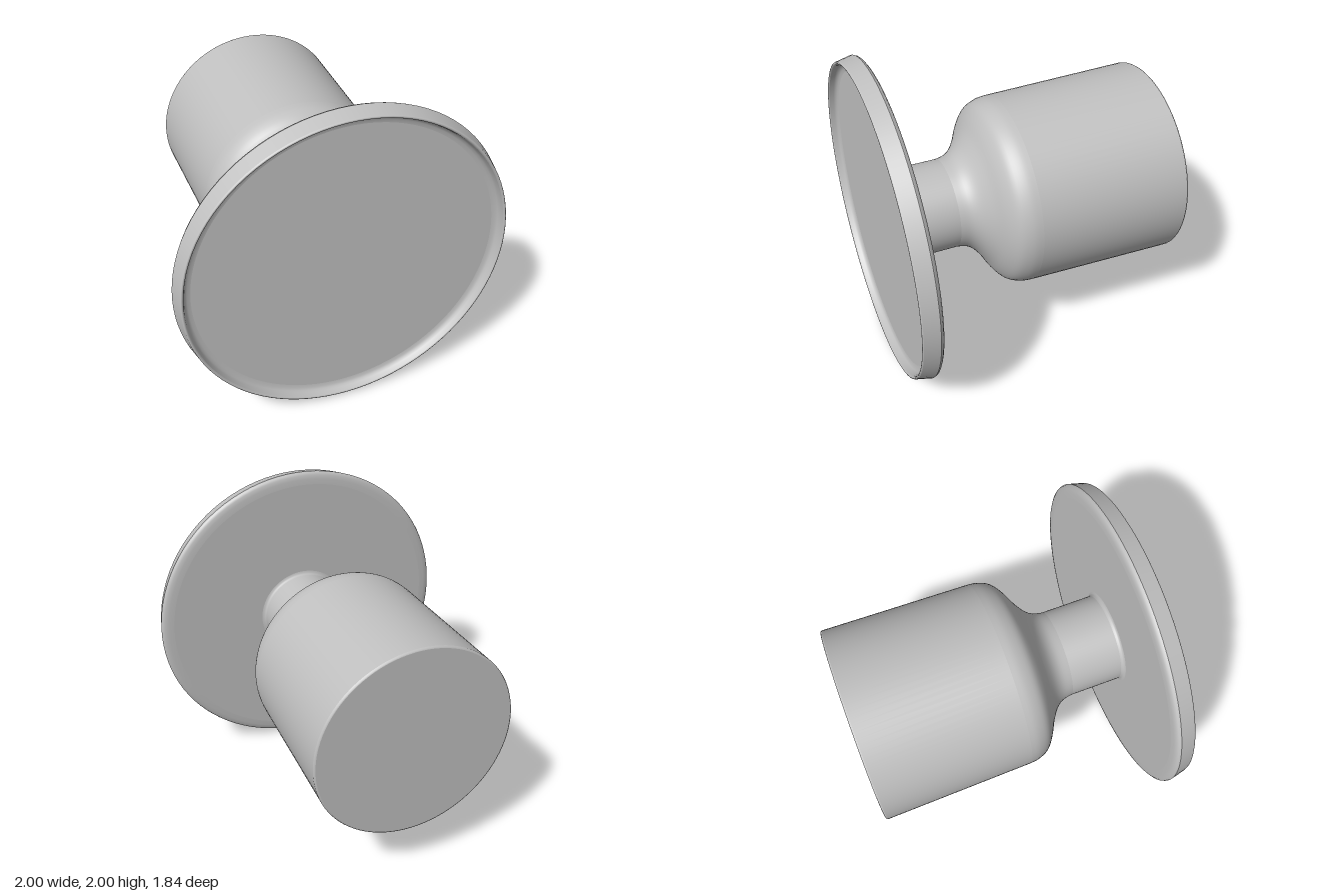
import * as THREE from 'three';

const SEGMENTS = 96;

export function createModel() {
  const group = new THREE.Group();
  group.name = 'pedestalKnob';
  const grey = new THREE.MeshStandardMaterial({ color: 0xc0c0c0 });
  grey.name = 'satin grey';

  // Revolve a [radius, z] profile, listed from back to front, about the z axis
  function turned(name, profile) {
    const points = profile.map((p) => (p.isVector2 ? p : new THREE.Vector2(p[0], p[1])));
    const geometry = new THREE.LatheGeometry(points, SEGMENTS);
    geometry.rotateX(Math.PI / 2);
    const mesh = new THREE.Mesh(geometry, grey);
    mesh.name = name;
    mesh.position.y = 1;
    group.add(mesh);
  }

  // Flat back face of the head and its small rounded edge
  turned('headBack', [[0, -0.92], [0.61, -0.92]]);
  turned('headEdge', [[0.61, -0.92], [0.617, -0.917], [0.621, -0.909]]);

  // Slightly tapered head
  turned('headWall', [[0.621, -0.909], [0.6, 0.04]]);

  // S-shaped shoulder flowing from the head into the stem
  const shoulder = new THREE.SplineCurve([
    [0.6, 0.04], [0.592, 0.1], [0.562, 0.165], [0.5, 0.215], [0.41, 0.265],
    [0.335, 0.32], [0.295, 0.375], [0.28, 0.44],
  ].map(([r, z]) => new THREE.Vector2(r, z)));
  turned('shoulder', shoulder.getPoints(28));

  // Stem with a small fillet where it meets the foot
  turned('stem', [[0.28, 0.44], [0.28, 0.768]]);
  turned('stemFillet', [[0.28, 0.768], [0.283, 0.78], [0.29, 0.787], [0.302, 0.79]]);

  // Foot: back face, rounded shoulder and tapered rim
  turned('footBack', [[0.302, 0.79], [0.92, 0.79]]);
  turned('footShoulder', [
    [0.92, 0.79], [0.955, 0.792], [0.98, 0.797], [0.994, 0.806], [1, 0.82],
  ]);
  turned('footRim', [[1, 0.82], [0.978, 0.912]]);
  turned('footLip', [
    [0.978, 0.912], [0.975, 0.918], [0.97, 0.92], [0.964, 0.918], [0.96, 0.912],
  ]);

  // Shallow dish in the front of the foot
  turned('dishWall', [
    [0.96, 0.912], [0.952, 0.888], [0.944, 0.876], [0.93, 0.868], [0.91, 0.865],
  ]);
  turned('dishFloor', [[0.91, 0.865], [0, 0.865]]);

  return group;
}
